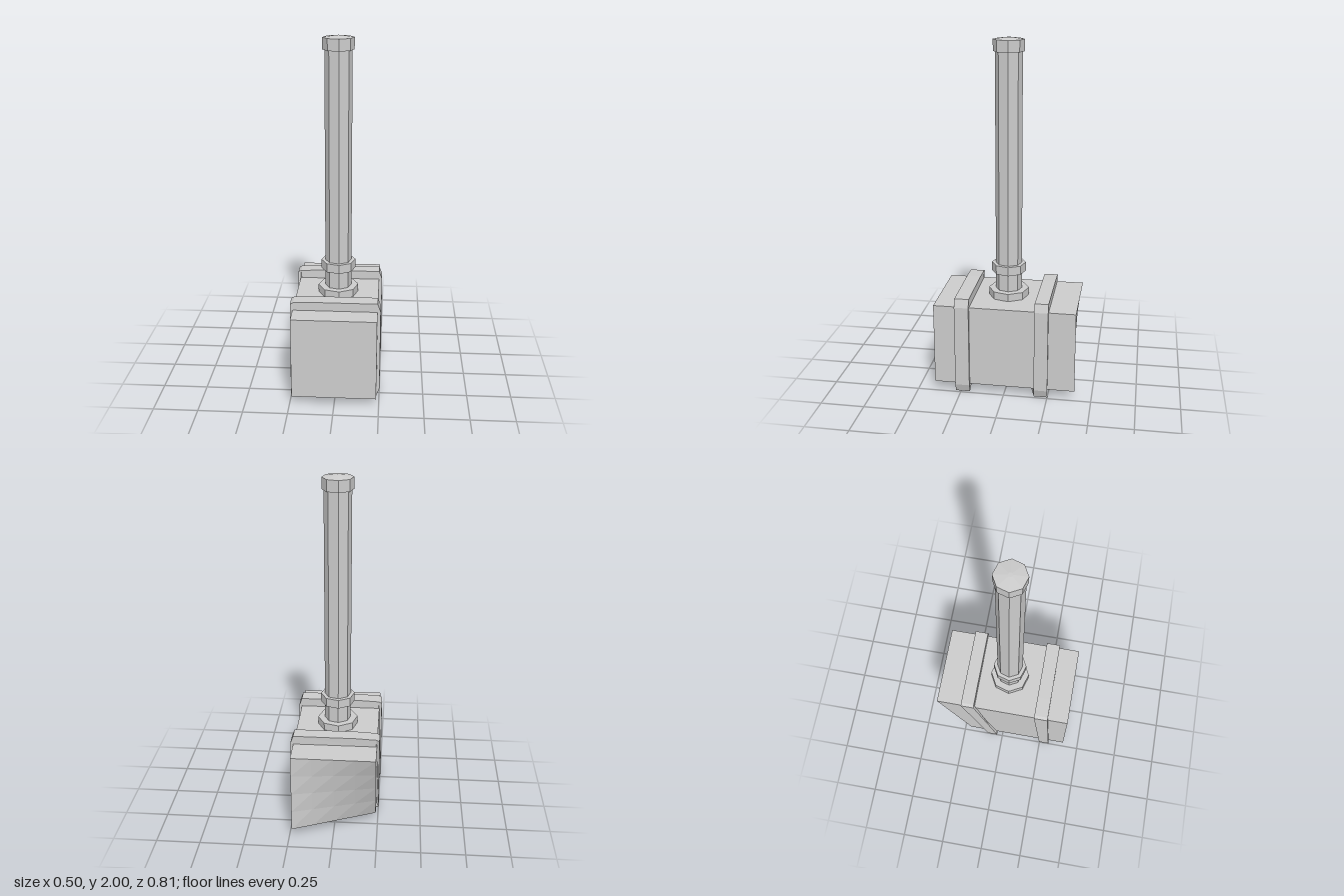
import * as THREE from 'three';

const material = new THREE.MeshStandardMaterial({ color: 0xcccccc, flatShading: true });
const X0 = -0.238, X1 = 0.235, Y0 = 0.053, Y1 = 0.527, Z0 = -0.405, Z1 = 0.403;
const HANDLE_Z = 0.007;

// Pull the lower rear corner on the -x side forward, fading out to the other corners.
function skew(geometry) {
  const p = geometry.attributes.position;
  const clamp = (t) => THREE.MathUtils.clamp(t, 0, 1);
  for (let i = 0; i < p.count; i++) {
    const u = clamp((X1 - p.getX(i)) / (X1 - X0));
    const v = clamp((Y1 - p.getY(i)) / (Y1 - Y0));
    const w = clamp((Z1 - p.getZ(i)) / (Z1 - Z0));
    p.setZ(i, p.getZ(i) + 0.195 * u * v * w);
  }
  geometry.computeVertexNormals();
  return geometry;
}

function addMesh(parent, geometry, name) {
  const mesh = new THREE.Mesh(geometry, material);
  mesh.name = name;
  parent.add(mesh);
  return mesh;
}

// Octagonal piece of the handle between two heights.
function addOctagon(parent, name, rBottom, rTop, y0, y1) {
  const geometry = new THREE.CylinderGeometry(rTop, rBottom, y1 - y0, 8, 1, false, 0.1);
  const mesh = addMesh(parent, geometry, name);
  mesh.position.set(0.001, (y0 + y1) / 2, HANDLE_Z);
}

// Strap outline with bevelled corners, open around the head.
function strapGeometry(z0, z1) {
  const outline = [
    [0.235, 0.003], [0.252, 0.05], [0.252, 0.53], [0.235, 0.577],
    [-0.12, 0.577], [-0.235, 0.572], [-0.252, 0.562],
    [-0.252, 0.016], [-0.235, 0.008], [-0.12, 0.003],
  ];
  const shape = new THREE.Shape(outline.map(([x, y]) => new THREE.Vector2(x, y)));
  const e = 0.006;
  shape.holes.push(new THREE.Path([
    new THREE.Vector2(X0 + e, Y0 + e), new THREE.Vector2(X0 + e, Y1 - e),
    new THREE.Vector2(X1 - e, Y1 - e), new THREE.Vector2(X1 - e, Y0 + e),
  ]));
  const geometry = new THREE.ExtrudeGeometry(shape, { depth: z1 - z0, bevelEnabled: false });
  geometry.translate(0, 0, z0);
  return skew(geometry);
}

export function createModel() {
  const model = new THREE.Group();
  model.name = 'hammer';

  // Head block with its twisted rear end
  const block = new THREE.BoxGeometry(X1 - X0, Y1 - Y0, Z1 - Z0, 4, 4, 1);
  block.translate((X0 + X1) / 2, (Y0 + Y1) / 2, (Z0 + Z1) / 2);
  addMesh(model, skew(block), 'head');

  // Straps around the head
  addMesh(model, strapGeometry(0.198, 0.28), 'frontStrap');
  addMesh(model, strapGeometry(-0.252, -0.174), 'rearStrap');

  // Handle with its collars and end cap
  const handle = new THREE.Group();
  handle.name = 'handle';
  addOctagon(handle, 'shaft', 0.075, 0.075, 0.5, 1.95);
  addOctagon(handle, 'baseCollar', 0.115, 0.115, 0.51, 0.571);
  addOctagon(handle, 'gripCollar', 0.097, 0.097, 0.675, 0.727);
  addOctagon(handle, 'endCap', 0.086, 0.086, 1.926, 1.99);
  addOctagon(handle, 'endCapCrown', 0.086, 0.012, 1.99, 2.0);
  model.add(handle);

  return model;
}
